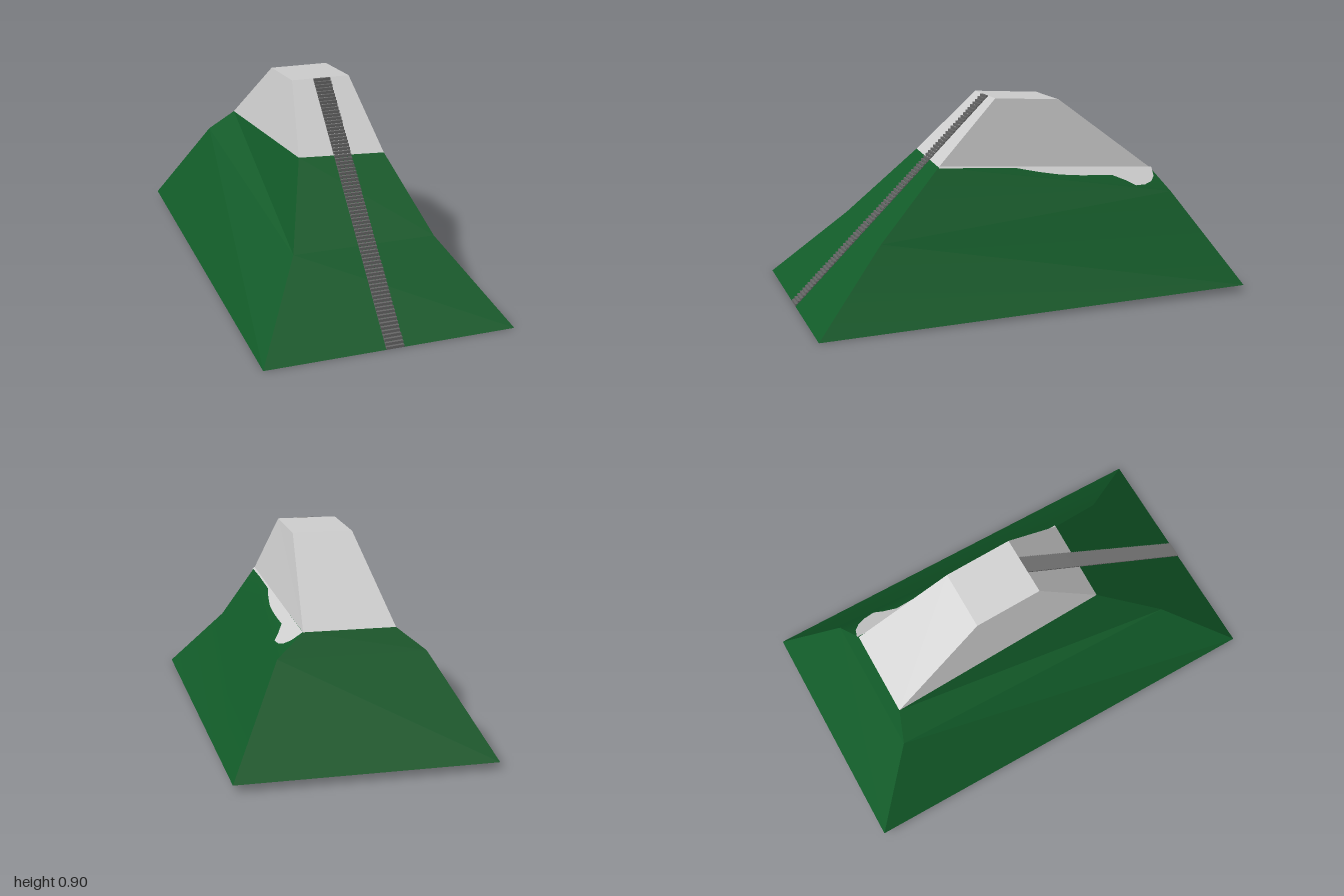
import * as THREE from 'three';

const grass = new THREE.MeshStandardMaterial({ color: 0x115a28 });
grass.name = 'grass green';
const rock = new THREE.MeshStandardMaterial({ color: 0xcccccc });
rock.name = 'pale summit';
const stone = new THREE.MeshStandardMaterial({ color: 0x666666 });
stone.name = 'stair grey';

// Corner rings, each: front -x, front +x, back +x, back -x
const foot = [[-0.555, 0, 1], [0.555, 0, 1], [0.555, 0.03, -1], [-0.555, 0.03, -1]];
const waist = [[-0.32, 0.325, 0.67], [0.32, 0.325, 0.67], [0.32, 0.45, -0.73], [-0.32, 0.45, -0.73]];
const shoulder = [[-0.19, 0.635, 0.355], [0.203, 0.62, 0.37], [0.2, 0.545, -0.68], [-0.2, 0.545, -0.68]];
const crown = [[-0.13, 0.905, 0.08], [0.142, 0.905, 0.08], [0.142, 0.885, -0.23], [-0.13, 0.885, -0.23]];

// Two triangles split along the diagonal from b to d
const quad = (a, b, c, d) => [b, c, d, b, d, a];
const wall = (lo, hi, i) => quad(lo[i], lo[(i + 1) % 4], hi[(i + 1) % 4], hi[i]);

function surface(name, points, material) {
  const g = new THREE.BufferGeometry();
  g.setAttribute('position', new THREE.Float32BufferAttribute(points.flat(), 3));
  g.computeVertexNormals();
  const m = new THREE.Mesh(g, material);
  m.name = name;
  return m;
}

// The +x flank is shaded smoothly across its waist
function smoothFlank() {
  const g = new THREE.BufferGeometry();
  const p = [foot[1], foot[2], waist[1], waist[2], shoulder[1], shoulder[2]];
  g.setAttribute('position', new THREE.Float32BufferAttribute(p.flat(), 3));
  g.setIndex([1, 3, 2, 1, 2, 0, 3, 5, 4, 3, 4, 2]);
  g.computeVertexNormals();
  const m = new THREE.Mesh(g, grass);
  m.name = 'leftFlank';
  return m;
}

// Ragged pale edge spilling down the +x flank: [z, y] of its lower border
function summitSpill() {
  const border = [[0.37, 0.613], [0.2, 0.603], [0, 0.588], [-0.1, 0.567], [-0.2, 0.55],
    [-0.3, 0.54], [-0.4, 0.533], [-0.46, 0.53], [-0.52, 0.505], [-0.56, 0.483],
    [-0.61, 0.483], [-0.65, 0.492], [-0.675, 0.51], [-0.685, 0.538]];
  const lift = 0.003;
  const rows = border.map(([z, y]) => {
    const top = 0.5936 + 0.0714 * z;
    const x = 0.2 + Math.max(0, top - y) / 0.762;
    return [[x + lift, Math.min(y, top) + lift, z], [0.2 + lift, top + lift, z]];
  });
  const pts = [];
  for (let i = 0; i < rows.length - 1; i++) {
    pts.push(...quad(rows[i][0], rows[i + 1][0], rows[i + 1][1], rows[i][1]));
  }
  return surface('summitSpill', pts, rock);
}

// Sawtooth stair profile running up the front slope, extruded across its width
function stairs() {
  const steps = 76, run = 0.92 / steps, rise = 0.905 / steps;
  const s = new THREE.Shape();
  s.moveTo(1, 0);
  for (let i = 0; i < steps; i++) {
    s.lineTo(1 - i * run, (i + 1) * rise);
    s.lineTo(1 - (i + 1) * run, (i + 1) * rise);
  }
  s.lineTo(0.08, 0.89);
  s.lineTo(0.985, 0);
  const g = new THREE.ExtrudeGeometry(s, { depth: 0.08, bevelEnabled: false });
  g.rotateY(-Math.PI / 2); // profile x becomes z
  g.translate(0.05, 0, 0);
  const m = new THREE.Mesh(g, stone);
  m.name = 'stairs';
  return m;
}

export function createModel() {
  const model = new THREE.Group();
  model.name = 'steppedHill';

  // Grassy slopes
  const names = ['frontSlope', null, 'backSlope', 'rightFlank'];
  names.forEach((name, i) => {
    if (name) model.add(surface(name, [...wall(foot, waist, i), ...wall(waist, shoulder, i)], grass));
  });
  model.add(smoothFlank());
  model.add(surface('underside', quad(foot[3], foot[2], foot[1], foot[0]), grass));

  // Pale summit
  const summit = [0, 1, 2, 3].flatMap((i) => wall(shoulder, crown, i));
  model.add(surface('summit', [...summit, ...quad(...crown)], rock));
  model.add(summitSpill());

  model.add(stairs());
  return model;
}
